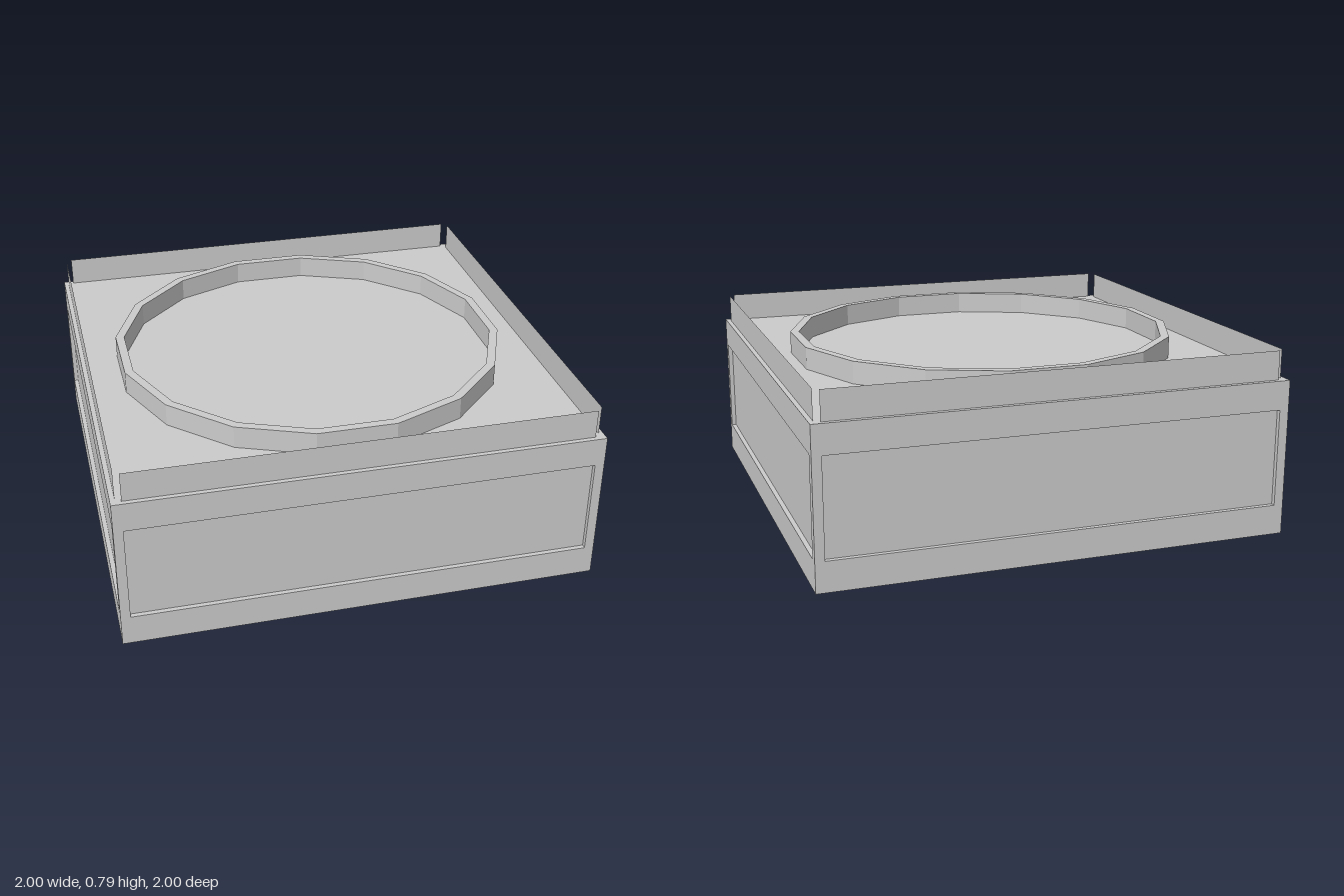
import * as THREE from 'three';

const H = 0.666;        // height of the base
const WALL_TOP = 0.79;  // top of the thin parapet sheets
const INSET = 0.98;     // distance of recessed panels and parapets from the centre

const grey = new THREE.MeshStandardMaterial({ color: 0xcccccc, flatShading: true });
const greySheet = new THREE.MeshStandardMaterial({ color: 0xcccccc, flatShading: true, side: THREE.DoubleSide });

function add(parent, name, geometry, material = grey) {
  const mesh = new THREE.Mesh(geometry, material);
  mesh.name = name;
  parent.add(mesh);
  return mesh;
}

// Side skin facing +z: rectangle loops running from the outer edge into the recess
function recessedSide() {
  const loops = [
    { w: 1, y0: 0, y1: H, z: 1 },
    { w: 0.96, y0: 0.128, y1: 0.542, z: 1 },
    { w: 0.96, y0: 0.128, y1: 0.542, z: INSET },
  ];
  const positions = [];
  for (const { w, y0, y1, z } of loops) positions.push(-w, y0, z, w, y0, z, w, y1, z, -w, y1, z);
  const index = [];
  for (let l = 0; l < loops.length - 1; l++) {
    for (let i = 0; i < 4; i++) {
      const a = l * 4 + i, b = l * 4 + (i + 1) % 4;
      index.push(a, b, b + 4, a, b + 4, a + 4);
    }
  }
  index.push(8, 9, 10, 8, 10, 11);
  const geometry = new THREE.BufferGeometry();
  geometry.setAttribute('position', new THREE.Float32BufferAttribute(positions, 3));
  geometry.setIndex(index);
  const flat = geometry.toNonIndexed();
  flat.computeVertexNormals();
  return flat;
}

export function createModel() {
  const model = new THREE.Group();
  model.name = 'pedestalBlock';

  // Four equal sides, each with a recessed panel and a thin parapet above
  const sideGeometry = recessedSide();
  const parapetGeometry = new THREE.PlaneGeometry(1.914, WALL_TOP - H);
  ['front', 'left', 'back', 'right'].forEach((name, i) => {
    const side = new THREE.Group();
    side.name = name + 'Side';
    add(side, name + 'Panel', sideGeometry);
    add(side, name + 'Parapet', parapetGeometry, greySheet).position.set(0, (H + WALL_TOP) / 2, INSET);
    side.rotation.y = i * Math.PI / 2;
    model.add(side);
  });

  // Deck and underside
  const deck = add(model, 'deck', new THREE.PlaneGeometry(2, 2));
  deck.rotation.x = -Math.PI / 2;
  deck.position.y = H;
  add(model, 'underside', new THREE.PlaneGeometry(2, 2)).rotation.x = Math.PI / 2;

  // Sixteen-sided raised ring on the deck
  const outer = 0.853, inner = 0.815, rise = 0.095;
  const profile = [[outer, 0], [outer, rise], [inner, rise], [inner, 0]].map(([r, y]) => new THREE.Vector2(r, y));
  add(model, 'ring', new THREE.LatheGeometry(profile, 16, Math.PI / 16)).position.y = H;

  return model;
}
